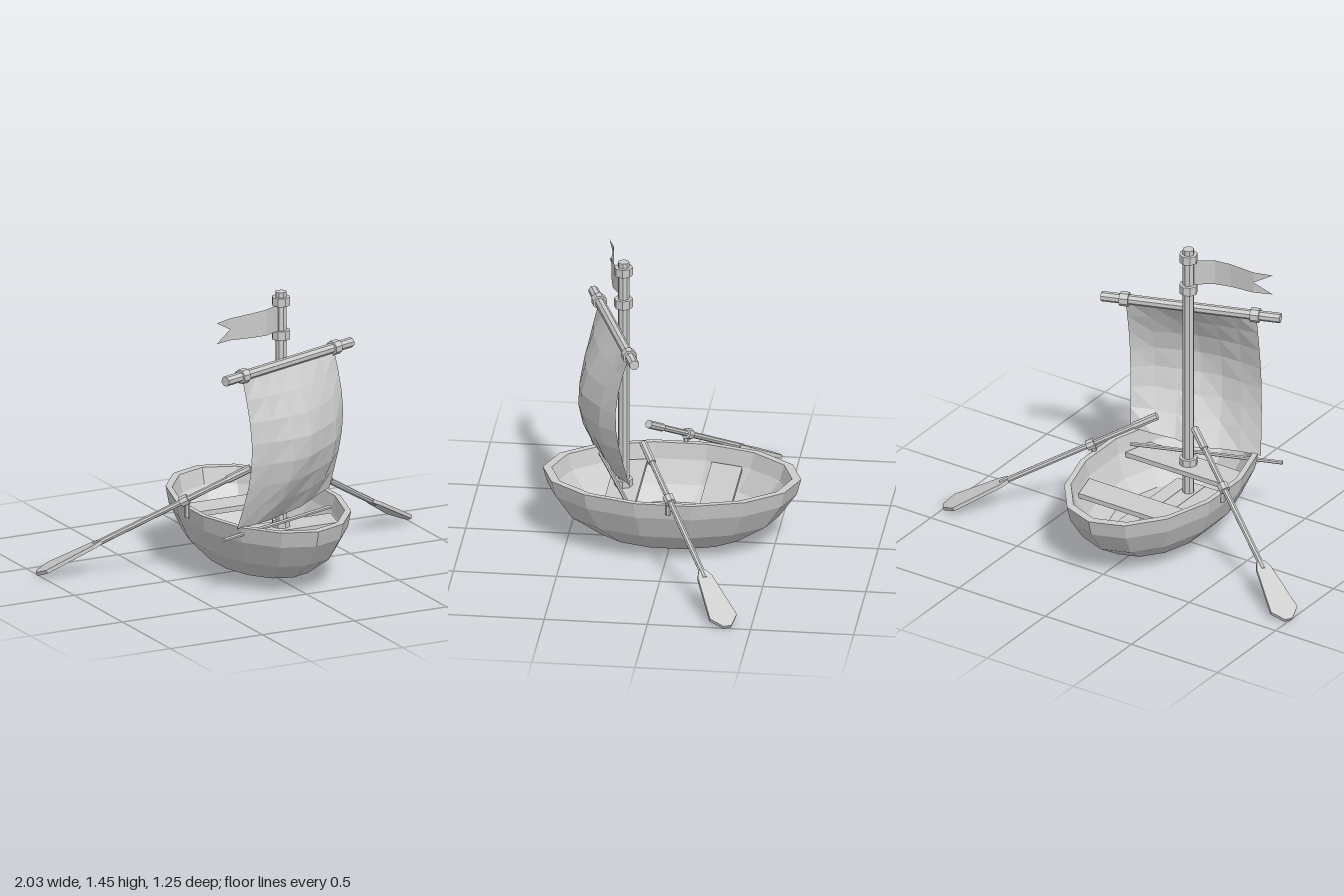
import * as THREE from 'three';

const mat = new THREE.MeshStandardMaterial({ color: 0xcccccc, flatShading: true });
const clothMat = new THREE.MeshStandardMaterial({ color: 0xcccccc, flatShading: true, side: THREE.DoubleSide });
const V = (x, y, z) => new THREE.Vector3(x, y, z);

export function createModel() {
  const model = new THREE.Group();

  const add = (name, geometry, parent = model, material = mat) => {
    const mesh = new THREE.Mesh(geometry, material);
    mesh.name = name;
    parent.add(mesh);
    return mesh;
  };

  // Straight pole between two points
  const pole = (name, a, b, r, sides = 8, parent = model) => {
    const dir = b.clone().sub(a);
    const mesh = add(name, new THREE.CylinderGeometry(r, r, dir.length(), sides), parent);
    mesh.position.copy(a).add(b).multiplyScalar(0.5);
    mesh.quaternion.setFromUnitVectors(V(0, 1, 0), dir.normalize());
    return mesh;
  };

  // Hull: closed shell with rim and inner floor, squeezed to an oval
  const profile = [
    [0, 0.05], [0.365, 0.05], [0.52, 0.15], [0.605, 0.27], [0.627, 0.35],
    [0.583, 0.35], [0.56, 0.27], [0.475, 0.16], [0.35, 0.1], [0, 0.1],
  ].map(([r, y]) => new THREE.Vector2(r, y));
  add('hull', new THREE.LatheGeometry(profile, 14).scale(0.612, 1, 1));

  // Floor boards
  for (const x of [-0.08, 0, 0.08]) {
    add('floorBoard', new THREE.BoxGeometry(0.078, 0.02, 0.64)).position.set(x, 0.11, 0);
  }

  // Benches, narrower towards the ends of the boat
  for (const s of [-1, 1]) {
    const shape = new THREE.Shape([[-0.312, 0.155], [0.312, 0.155], [0.272, 0.308], [-0.272, 0.308]]
      .map(([x, z]) => new THREE.Vector2(x, -z * s)));
    const geo = new THREE.ExtrudeGeometry(shape, { depth: 0.025, bevelEnabled: false });
    add('bench', geo.rotateX(-Math.PI / 2)).position.y = 0.25;
  }

  // Mast with collars
  const mastZ = 0.235;
  pole('mast', V(0, 0.1, mastZ), V(0, 1.455, mastZ), 0.028);
  for (const [y, h] of [[0.29, 0.04], [1.24, 0.045], [1.408, 0.042]]) {
    pole('mastCollar', V(0, y - h / 2, mastZ), V(0, y + h / 2, mastZ), 0.045);
  }

  // Yard, its rings and the lower boom, all turned slightly about the mast
  const yardDir = V(0.84, 0, -0.3).normalize();
  const yardNormal = V(0.3, 0, 0.84).normalize();
  const along = (s, y) => V(0.015, y, 0.28).addScaledVector(yardDir, s);
  pole('yard', along(-0.445, 1.11), along(0.445, 1.11), 0.025);
  for (const s of [-0.32, 0.33]) {
    pole('yardRing', along(s - 0.022, 1.11), along(s + 0.022, 1.11), 0.036);
  }
  pole('lowerBoom', along(-0.455, 0.315), along(0.3, 0.315), 0.01, 6);

  // Sail: grid bulging away from the yard, with light creases
  const sail = new THREE.PlaneGeometry(2, 1, 6, 7);
  const p = sail.attributes.position;
  for (let i = 0; i < p.count; i++) {
    const u = p.getX(i), v = 0.5 - p.getY(i);
    const bottom = 0.345 + 0.065 * Math.max(0, u);
    const bulge = Math.sin(Math.PI * v) * (0.065 + 0.095 * (1 - u * u));
    const crease = 0.012 * Math.sin(u * 7 + v * 5) * v;
    const q = along(0.325 * u - 0.025 * v * v, 1.1 + (bottom - 1.1) * v)
      .addScaledVector(yardNormal, bulge + crease);
    p.setXYZ(i, q.x, q.y, q.z);
  }
  sail.computeVertexNormals();
  add('sail', sail, model, clothMat);

  // Swallow-tailed pennant, bent along its length
  const stations = [
    [-0.02, 0.245, 1.262, 1.394], [-0.11, 0.3, 1.266, 1.396],
    [-0.19, 0.315, 1.27, 1.394], [-0.32, 0.32, 1.276, 1.386],
  ];
  const flagPts = [], flagIdx = [];
  for (const [x, z, lo, hi] of stations) flagPts.push(x, lo, z, x, (lo + hi) / 2, z, x, hi, z);
  flagPts.push(-0.41, 1.278, 0.352, -0.41, 1.382, 0.352);
  for (let i = 0; i < 3; i++) {
    for (let j = 0; j < 2; j++) {
      const a = i * 3 + j;
      flagIdx.push(a, a + 1, a + 3, a + 1, a + 4, a + 3);
    }
  }
  flagIdx.push(9, 10, 12, 10, 11, 13);
  const flag = new THREE.BufferGeometry();
  flag.setAttribute('position', new THREE.Float32BufferAttribute(flagPts, 3));
  flag.setIndex(flagIdx);
  flag.computeVertexNormals();
  add('pennant', flag, model, clothMat);

  // Oars with their locks, one per side
  const half = [[0.018, 0.795], [0.037, 0.835], [0.07, 1.09]];
  const bladeShape = new THREE.Shape([
    ...half.map(([x, y]) => new THREE.Vector2(x, y)),
    new THREE.Vector2(0.02, 1.148), new THREE.Vector2(-0.02, 1.148),
    ...half.map(([x, y]) => new THREE.Vector2(-x, y)).reverse(),
  ]);
  for (const s of [-1, 1]) {
    const grip = V(0.12 * s, 0.545, 0.12);
    const d = V(0.995 * s, 0.014, -0.385).sub(grip).normalize();
    const w = d.clone().cross(V(0, 1, 0)).normalize();
    const oar = new THREE.Group();
    oar.name = s > 0 ? 'leftOar' : 'rightOar';
    oar.position.copy(grip);
    oar.quaternion.setFromRotationMatrix(new THREE.Matrix4().makeBasis(w, d, w.clone().cross(d)));
    model.add(oar);
    pole('shaft', V(0, 0.1, 0), V(0, 0.84, 0), 0.015, 8, oar);
    pole('handle', V(0, -0.015, 0), V(0, 0.11, 0), 0.02, 8, oar);
    const blade = new THREE.ExtrudeGeometry(bladeShape, { depth: 0.018, bevelEnabled: false });
    add('blade', blade.translate(0, 0, -0.009), oar);
    pole('oarCollar', V(0, 0.325, 0), V(0, 0.365, 0), 0.027, 8, oar);
    pole('oarlockPin', V(0.373 * s, 0.3, -0.025), V(0.373 * s, 0.37, -0.025), 0.013, 6);
  }

  return model;
}
